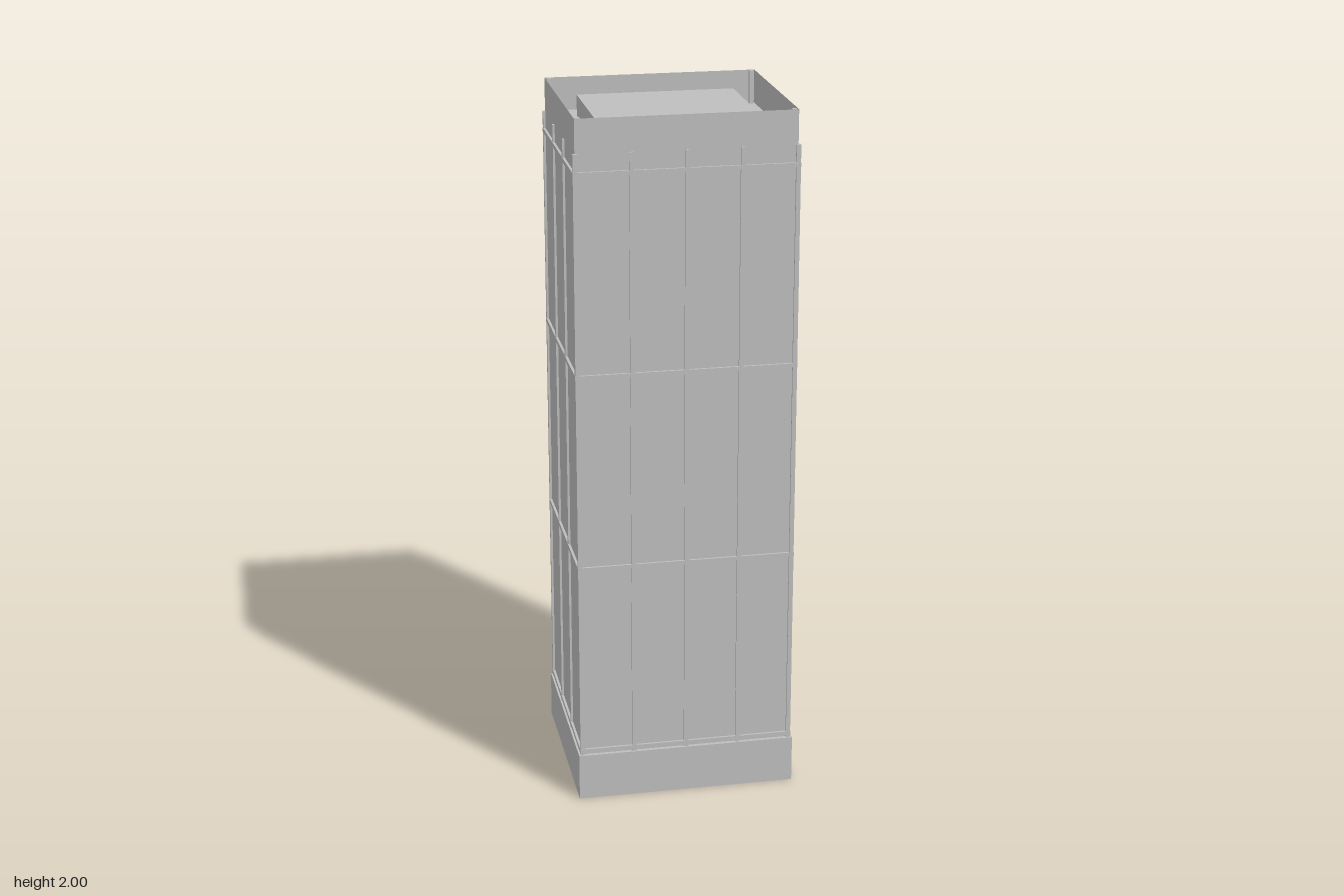
import * as THREE from 'three';

export function createModel() {
  const group = new THREE.Group();
  const grey = new THREE.MeshStandardMaterial({ color: 0xbfbfbf, side: THREE.DoubleSide });
  grey.name = 'grey';

  const X = 0.304, Z = 0.27;            // half sizes of the tower walls
  const PLINTH = 0.137, ROOF = 1.905, TOP = 2;

  const add = (name, geometry) => {
    const mesh = new THREE.Mesh(geometry, grey);
    mesh.name = name;
    group.add(mesh);
  };

  // solid box between two heights
  const block = (name, w, d, y0, y1, x = 0, z = 0) =>
    add(name, new THREE.BoxGeometry(w, y1 - y0, d).translate(x, (y0 + y1) / 2, z));

  // four thin walls without top or bottom
  const shell = (name, w, d, y0, y1) => {
    const g = new THREE.CylinderGeometry(Math.SQRT1_2, Math.SQRT1_2, y1 - y0, 4, 1, true)
      .rotateY(Math.PI / 4).scale(w, 1, d).translate(0, (y0 + y1) / 2, 0).toNonIndexed();
    g.computeVertexNormals();
    add(name, g);
  };

  // thin horizontal sheet
  const sheet = (name, w, d, y) =>
    add(name, new THREE.PlaneGeometry(w, d).rotateX(-Math.PI / 2).translate(0, y, 0));

  // hollow plinth, open underneath
  shell('plinthWalls', 0.63, 0.562, 0, PLINTH);
  sheet('plinthTop', 0.63, 0.562, PLINTH);

  // tower walls run up into the parapet around a sunken roof
  shell('towerWalls', 2 * X, 2 * Z, PLINTH, TOP);
  sheet('roof', 2 * X, 2 * Z, ROOF);
  block('roofBox', 0.45, 0.38, ROOF, 1.965);

  // small posts inside the parapet corners
  for (const sx of [-1, 1])
    for (const sz of [-1, 1])
      block('cornerPost', 0.0125, 0.0125, ROOF, TOP, sx * 0.2935, sz * 0.26);

  // upright mullions: four bays front and back, three on each side
  const mullion = (x, z) => block('mullion', 0.0125, 0.0125, PLINTH, ROOF, x, z);
  for (const s of [-1, 1]) {
    for (let i = 0; i <= 4; i++) mullion(-X + (i * X) / 2, s * Z);
    for (let i = 1; i <= 2; i++) mullion(s * X, -Z + (i * 2 * Z) / 3);
  }

  // horizontal bands around the tower
  for (let i = 0; i < 4; i++) {
    const y = 0.149 + i * 0.567;
    block('band', 0.622, 0.553, y - 0.006, y + 0.006);
  }

  return group;
}
